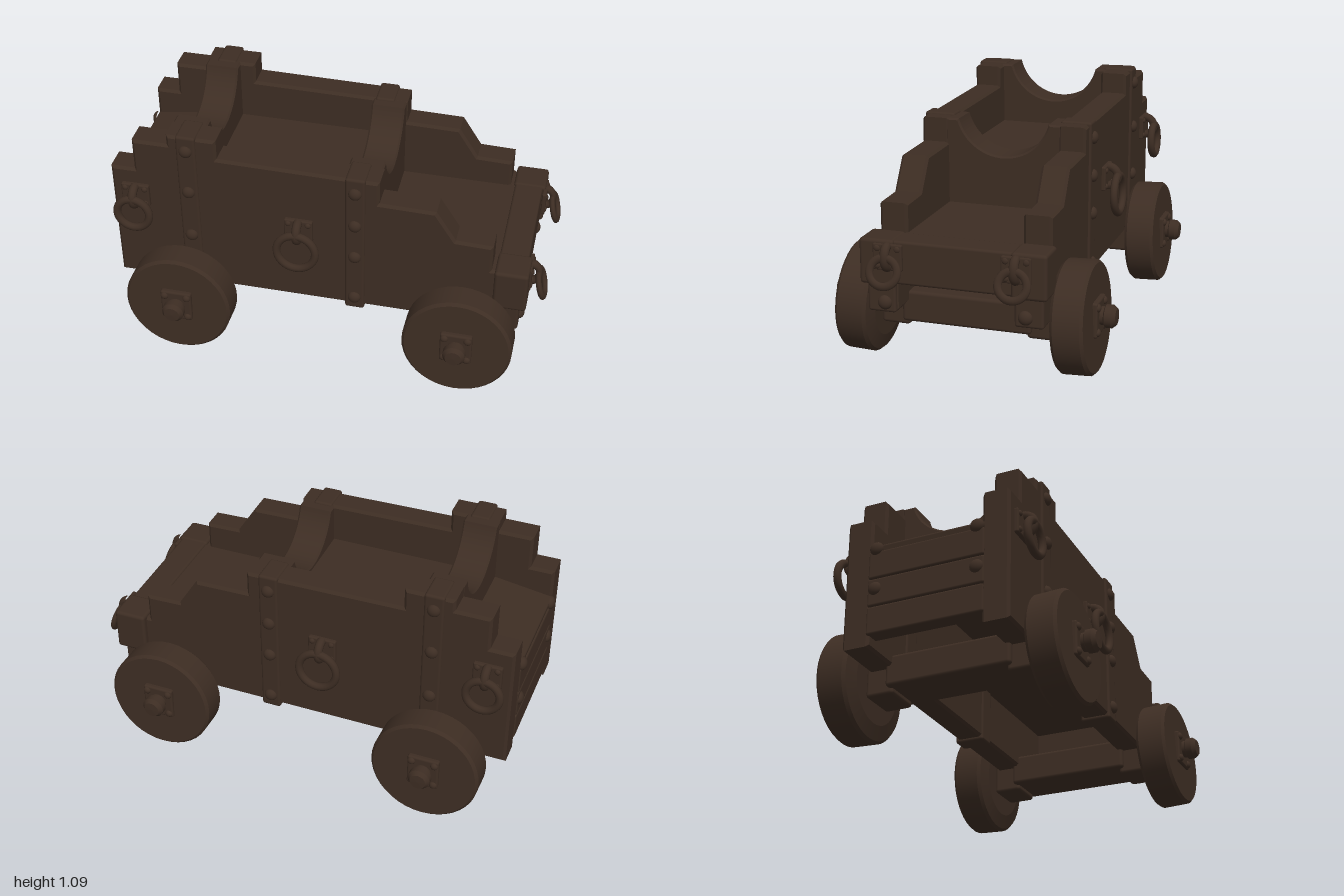
import * as THREE from 'three';
import { RoundedBoxGeometry } from 'three/addons/geometries/RoundedBoxGeometry.js';

const darkWood = new THREE.MeshStandardMaterial({ color: 0x3d2d23 });
darkWood.name = 'darkWood';

function add(parent, name, geometry, x = 0, y = 0, z = 0) {
  const mesh = new THREE.Mesh(geometry, darkWood);
  mesh.name = name;
  mesh.position.set(x, y, z);
  parent.add(mesh);
  return mesh;
}

// Rounded box given by its extents
function block(parent, name, x0, x1, y0, y1, z0, z1, r = 0.012) {
  const w = x1 - x0, h = y1 - y0, d = z1 - z0;
  const radius = Math.min(r, Math.min(w, h, d) * 0.45);
  return add(parent, name, new RoundedBoxGeometry(w, h, d, 2, radius), (x0 + x1) / 2, (y0 + y1) / 2, (z0 + z1) / 2);
}

// Extrusion with a small bevel that stays inside the outline and depth
function bevelled(shape, depth, b = 0.01) {
  const g = new THREE.ExtrudeGeometry(shape, {
    depth: depth - 2 * b, bevelEnabled: true, bevelSize: b, bevelThickness: b,
    bevelOffset: -b, bevelSegments: 1, curveSegments: 24,
  });
  return g.translate(0, 0, b);
}

// Turned part along z; doubled inner points keep its corners crisp
function turned(profile) {
  const pts = profile.flatMap(([r, h], i) => {
    const p = new THREE.Vector2(r, h);
    return i > 0 && i < profile.length - 1 ? [p, p.clone()] : [p];
  });
  return new THREE.LatheGeometry(pts, 40).rotateX(Math.PI / 2);
}

// Domed bolt head facing +z
function bolt(parent, x, y, z, ry = 0, r = 0.03) {
  const g = new THREE.SphereGeometry(r, 16, 8, 0, Math.PI * 2, 0, Math.PI / 2).rotateX(Math.PI / 2).scale(1, 1, 0.75);
  add(parent, 'bolt', g, x, y, z).rotation.y = ry;
}

// Plate, upright staple and hanging ring, facing +z
function ringFitting(name, ringRadius, tilt) {
  const g = new THREE.Group();
  g.name = name;
  block(g, 'ringPlate', -0.065, 0.065, -0.055, 0.06, -0.01, 0.018, 0.008);
  for (const x of [-0.045, 0.045]) for (const y of [-0.035, 0.04]) bolt(g, x, y, 0.016, 0, 0.014);
  const loop = new THREE.TorusGeometry(0.045, 0.02, 10, 16, Math.PI).rotateX(Math.PI / 2).rotateZ(Math.PI / 2);
  add(g, 'staple', loop, 0, 0.005, 0.015);
  const pivot = new THREE.Group();
  pivot.name = 'hangingRing';
  pivot.position.set(0, -0.005, 0.062);
  pivot.rotation.x = tilt;
  add(pivot, 'ring', new THREE.TorusGeometry(ringRadius, 0.018, 10, 32), 0, -ringRadius + 0.015, 0);
  g.add(pivot);
  return g;
}

// Cross wall with a round cradle cut in its top
function saddle(parent, name, x0, x1, base, low, top) {
  const R = 0.218, cy = low + R, half = 0.27;
  const a = Math.asin(Math.min(1, (top - cy) / R));
  const s = new THREE.Shape();
  s.moveTo(-half, base);
  s.lineTo(half, base);
  s.lineTo(half, top);
  s.lineTo(R * Math.cos(a), top);
  s.absarc(0, cy, R, a, -Math.PI - a, true);
  s.lineTo(-half, top);
  s.closePath();
  add(parent, name, bevelled(s, x1 - x0, 0.008).rotateY(Math.PI / 2), x0, 0, 0);
}

// Slightly canted wheel with hub plate and domed axle tip
function wheel(x, side) {
  const g = new THREE.Group();
  g.name = 'wheel';
  g.position.set(side * x, 0.257, 0.482);
  const disc = [[0, -0.09], [0.17, -0.09], [0.235, -0.074], [0.247, -0.06], [0.247, 0.055], [0.235, 0.068], [0, 0.068]];
  add(g, 'wheelDisc', turned(disc)).rotation.x = -0.045;
  block(g, 'hubPlate', -0.072, 0.072, -0.066, 0.09, 0.05, 0.085, 0.01);
  for (const px of [-0.052, 0.052]) for (const py of [-0.044, 0.066]) bolt(g, px, py, 0.083, 0, 0.018);
  const tip = [[0, 0.05], [0.04, 0.05], [0.04, 0.1], [0.05, 0.106], [0.05, 0.135], [0.036, 0.152], [0, 0.154]];
  add(g, 'axleTip', turned(tip), 0, 0.016, 0);
  const holder = new THREE.Group();
  holder.name = 'wheelMount';
  holder.rotation.y = side > 0 ? 0 : Math.PI;
  holder.add(g);
  return holder;
}

export function createModel() {
  const model = new THREE.Group();
  model.name = 'gunCarriage';

  // Stepped side cheeks
  const outline = [[-0.97, 0.28], [0.88, 0.28], [0.88, 0.59], [0.755, 0.59], [0.755, 0.72], [0.59, 0.725],
    [0.5, 0.865], [0.25, 0.87], [0.25, 0.98], [-0.475, 0.99], [-0.475, 1.085], [-0.7, 1.085], [-0.7, 1.035],
    [-0.86, 1.035], [-0.86, 0.88], [-0.97, 0.88]];
  const cheek = new THREE.Shape(outline.map(([x, y]) => new THREE.Vector2(x, y)));
  for (const s of [1, -1]) {
    const span = (a, b) => (s > 0 ? [a, b] : [-b, -a]);
    const turn = s > 0 ? 0 : Math.PI;
    add(model, 'sideCheek', bevelled(cheek, 0.125, 0.012), 0, 0, s > 0 ? 0.257 : -0.382);

    // Straps wrapping over the cheeks at each saddle
    block(model, 'rearStrap', -0.655, -0.565, 0.275, 1.093, ...span(0.25, 0.392));
    block(model, 'middleStrap', 0.1, 0.19, 0.265, 0.99, ...span(0.25, 0.392));
    for (const y of [1.02, 0.8, 0.56]) bolt(model, -0.61, y, s * 0.39, turn);
    for (const y of [0.915, 0.74, 0.565, 0.33]) bolt(model, 0.145, y, s * 0.39, turn);

    // End brackets and bolts
    block(model, 'beamBracket', 0.77, 0.92, 0.405, 0.605, ...span(0.255, 0.41), 0.015);
    block(model, 'frontFoot', 0.77, 0.89, 0.275, 0.42, ...span(0.262, 0.388));
    bolt(model, 0.888, 0.32, s * 0.31, Math.PI / 2, 0.032);
    for (const y of [0.54, 0.73]) bolt(model, -0.968, y, s * 0.235, -Math.PI / 2, 0.032);

    // Axle blocks under the cheeks
    for (const x of [-0.65, 0.64]) {
      block(model, 'axleBlock', x - 0.09, x + 0.09, 0.165, 0.4, ...span(0.265, 0.395), 0.015);
      model.add(wheel(x, s));
    }

    // Side rings
    for (const [x, y, r] of [[-0.86, 0.745, 0.075], [-0.11, 0.67, 0.088]]) {
      const fitting = ringFitting('sideRing', r, -0.04);
      fitting.position.set(x, y, s * 0.382);
      fitting.rotation.y = turn;
      model.add(fitting);
    }

    // Front rings, swung outwards
    const front = ringFitting('frontRing', 0.062, -0.4);
    front.position.set(0.915, 0.53, s * 0.28);
    front.rotation.y = Math.PI / 2;
    front.scale.z = 0.7;
    model.add(front);
  }

  // Front beam and axle beams
  block(model, 'frontBeam', 0.775, 0.905, 0.41, 0.6, -0.3, 0.3);
  for (const x of [-0.65, 0.64]) {
    block(model, 'axleBeam', x - 0.115, x + 0.115, 0.19, 0.33, -0.29, 0.29, 0.015);
    add(model, 'axle', new THREE.CylinderGeometry(0.045, 0.045, 0.9, 20).rotateX(Math.PI / 2), x, 0.273, 0);
  }

  // Cradle saddles
  saddle(model, 'rearSaddle', -0.7, -0.545, 0.7, 0.92, 1.085);
  saddle(model, 'frontSaddle', 0.09, 0.245, 0.53, 0.82, 0.98);

  // Decks
  block(model, 'middleDeck', -0.6, 0.12, 0.74, 0.8, -0.27, 0.27, 0.006);
  block(model, 'frontDeck', 0.2, 0.82, 0.53, 0.59, -0.27, 0.27, 0.006);
  const rearDeck = block(model, 'rearDeck', -0.97, -0.66, 0.72, 0.77, -0.27, 0.27, 0.01);
  rearDeck.rotation.z = 0.15;

  // Tail planks
  for (let i = 0; i < 3; i++) {
    const y = 0.33 + i * 0.13;
    block(model, 'tailPlank', -0.975, -0.9, y, y + 0.128, -0.27, 0.27, 0.01);
  }
  return model;
}
